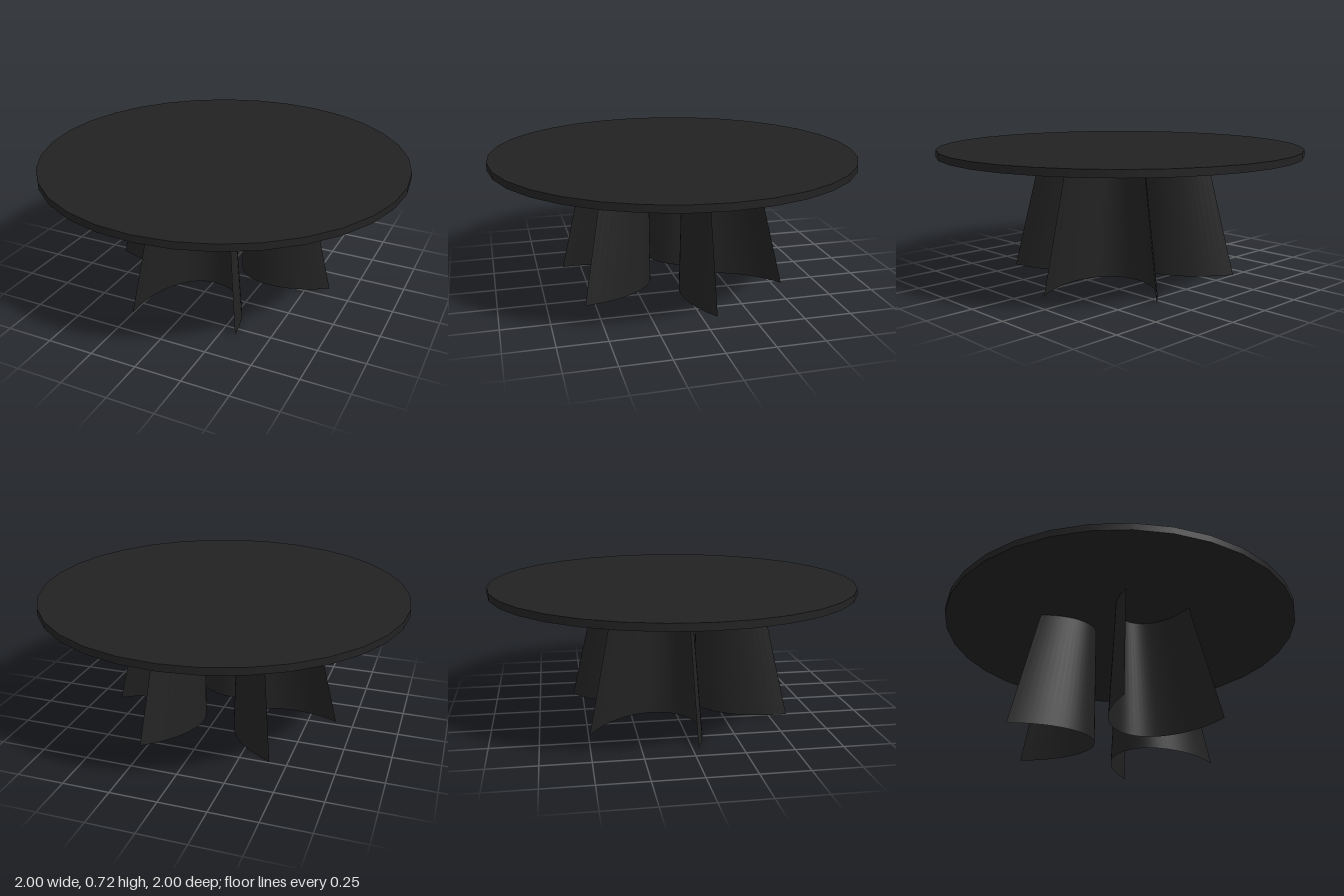
import * as THREE from 'three';

const TOP_UNDERSIDE = 0.684;
const TOP_SURFACE = 0.722;

// Thin curved sheet: half an ellipse in plan, opening along +x, tapering towards the top
function createLegGeometry() {
  const apex = 0.13;
  const depth = 0.44, halfWidth = 0.29, topScale = 0.685;
  const geometry = new THREE.PlaneGeometry(1, 1, 36, 1);
  const position = geometry.attributes.position;
  for (let i = 0; i < position.count; i++) {
    const angle = position.getX(i) * Math.PI;
    const height = position.getY(i) + 0.5;
    const scale = THREE.MathUtils.lerp(1, topScale, height);
    position.setXYZ(
      i,
      apex + depth * scale * (1 - Math.cos(angle)),
      height * TOP_UNDERSIDE,
      halfWidth * scale * Math.sin(angle)
    );
  }
  geometry.computeVertexNormals();
  return geometry;
}

export function createModel() {
  const model = new THREE.Group();
  model.name = 'roundTable';
  const black = new THREE.MeshStandardMaterial({ color: 0x222222, side: THREE.DoubleSide });
  black.name = 'black';

  const table = new THREE.Group();
  table.name = 'table';
  table.rotation.y = THREE.MathUtils.degToRad(35);
  model.add(table);

  // Round tabletop
  const thickness = TOP_SURFACE - TOP_UNDERSIDE;
  const tabletop = new THREE.Mesh(new THREE.CylinderGeometry(1, 1, thickness, 32), black);
  tabletop.name = 'tabletop';
  tabletop.position.y = TOP_UNDERSIDE + thickness / 2;
  table.add(tabletop);

  // Three curved legs set back to back
  const base = new THREE.Group();
  base.name = 'base';
  base.position.x = -0.017;
  table.add(base);
  const legGeometry = createLegGeometry();
  for (let i = 0; i < 3; i++) {
    const leg = new THREE.Mesh(legGeometry, black);
    leg.name = `curvedLeg${i + 1}`;
    leg.rotation.y = (i * Math.PI * 2) / 3;
    base.add(leg);
  }

  return model;
}
